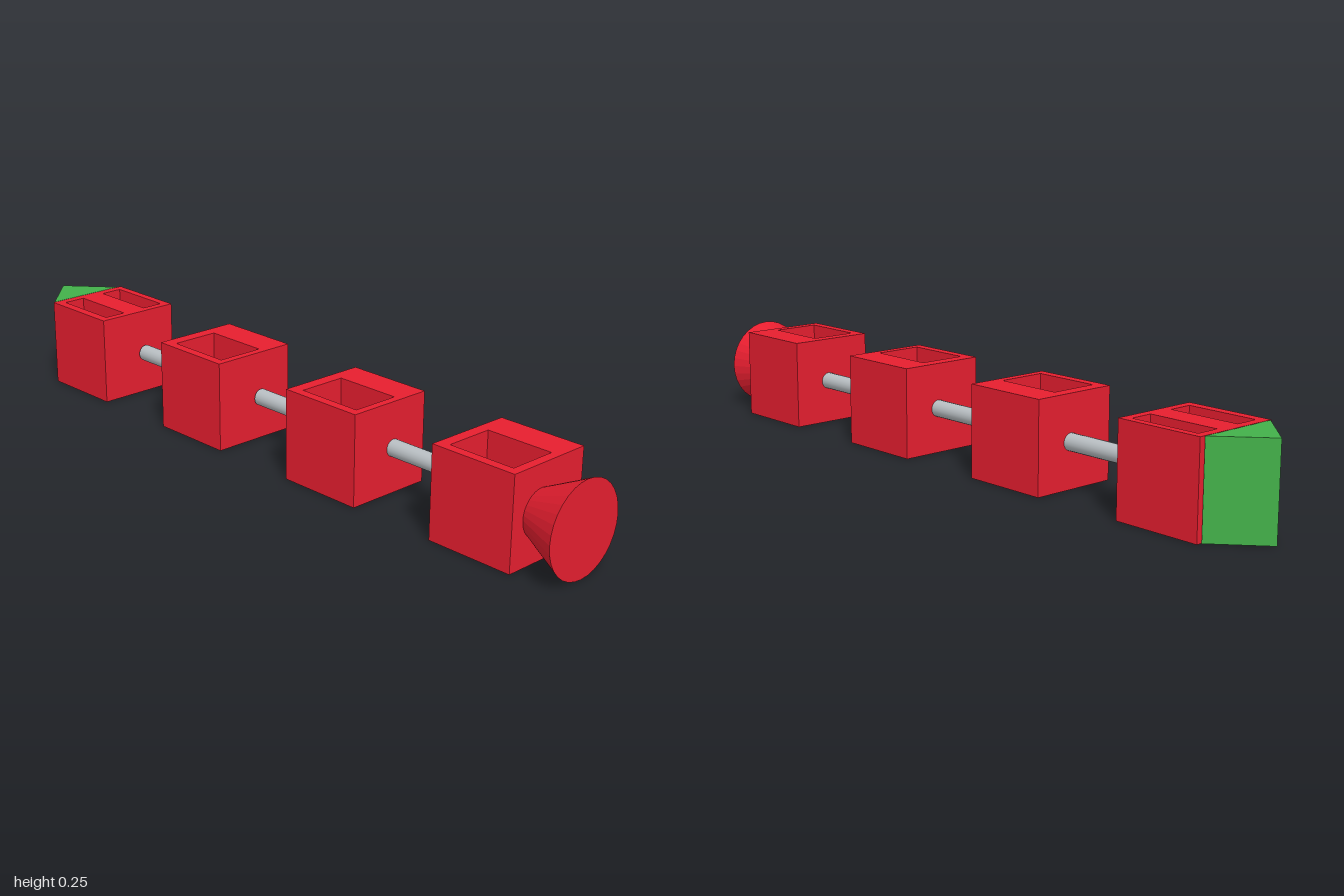
import * as THREE from 'three';

const H = 0.246;      // wagon height
const MID = H / 2;    // coupling height
const RED = 0xe61e2f, GREEN = 0x43b04a, STEEL = 0xb8bec2;

const paint = (color, flatShading = false) => new THREE.MeshStandardMaterial({ color, flatShading });

// Outline from [x, z] points; z is negated so the extrusion can be stood upright
const trace = (points, Type) => new Type(points.map(([x, z]) => new THREE.Vector2(x, -z)));
const rect = (x0, x1, z0, z1) => [[x0, z0], [x0, z1], [x1, z1], [x1, z0]];

function upright(name, outline, holes, color) {
  const shape = trace(outline, THREE.Shape);
  shape.holes = holes.map((hole) => trace(hole, THREE.Path));
  const geometry = new THREE.ExtrudeGeometry(shape, { depth: H, bevelEnabled: false });
  geometry.rotateX(-Math.PI / 2);
  const mesh = new THREE.Mesh(geometry, paint(color));
  mesh.name = name;
  return mesh;
}

// Round part lying along x, from x0 (radius r0) to x1 (radius r1)
function round(name, x0, x1, r0, r1, z, sides, material) {
  const geometry = new THREE.CylinderGeometry(r0, r1, x1 - x0, sides);
  geometry.rotateZ(Math.PI / 2);
  const mesh = new THREE.Mesh(geometry, material);
  mesh.name = name;
  mesh.position.set((x0 + x1) / 2, MID, z);
  return mesh;
}

export function createModel() {
  const model = new THREE.Group();
  model.name = 'train';

  // Wagons: square blocks with openings running right through
  const wagons = [
    { name: 'leadWagon', x: -0.874, holes: [rect(-0.85, -0.652, -0.113, -0.05), rect(-0.85, -0.652, 0.022, 0.086)] },
    { name: 'secondWagon', x: -0.368, holes: [rect(-0.333, -0.145, -0.048, 0.086)] },
    { name: 'thirdWagon', x: 0.136, holes: [rect(0.171, 0.359, -0.048, 0.086)] },
    { name: 'tailWagon', x: 0.631, holes: [rect(0.663, 0.851, -0.048, 0.086)] },
  ];
  for (const { name, x, holes } of wagons) {
    model.add(upright(name, rect(x, x + 0.245, -0.135, 0.112), holes, RED));
  }

  // Wedge-shaped nose
  model.add(upright('nose', [[-1, -0.012], [-0.876, -0.121], [-0.876, 0.107]], [], GREEN));

  // Coupling rods
  for (const [x0, x1] of [[-0.616, -0.36], [-0.112, 0.143], [0.372, 0.635]]) {
    model.add(round('couplingRod', x0, x1, 0.023, 0.023, -0.025, 20, paint(STEEL)));
  }

  // Flared tail cone
  model.add(round('tailCone', 0.853, 1, 0.051, 0.123, 0.0125, 32, paint(RED, true)));

  return model;
}
